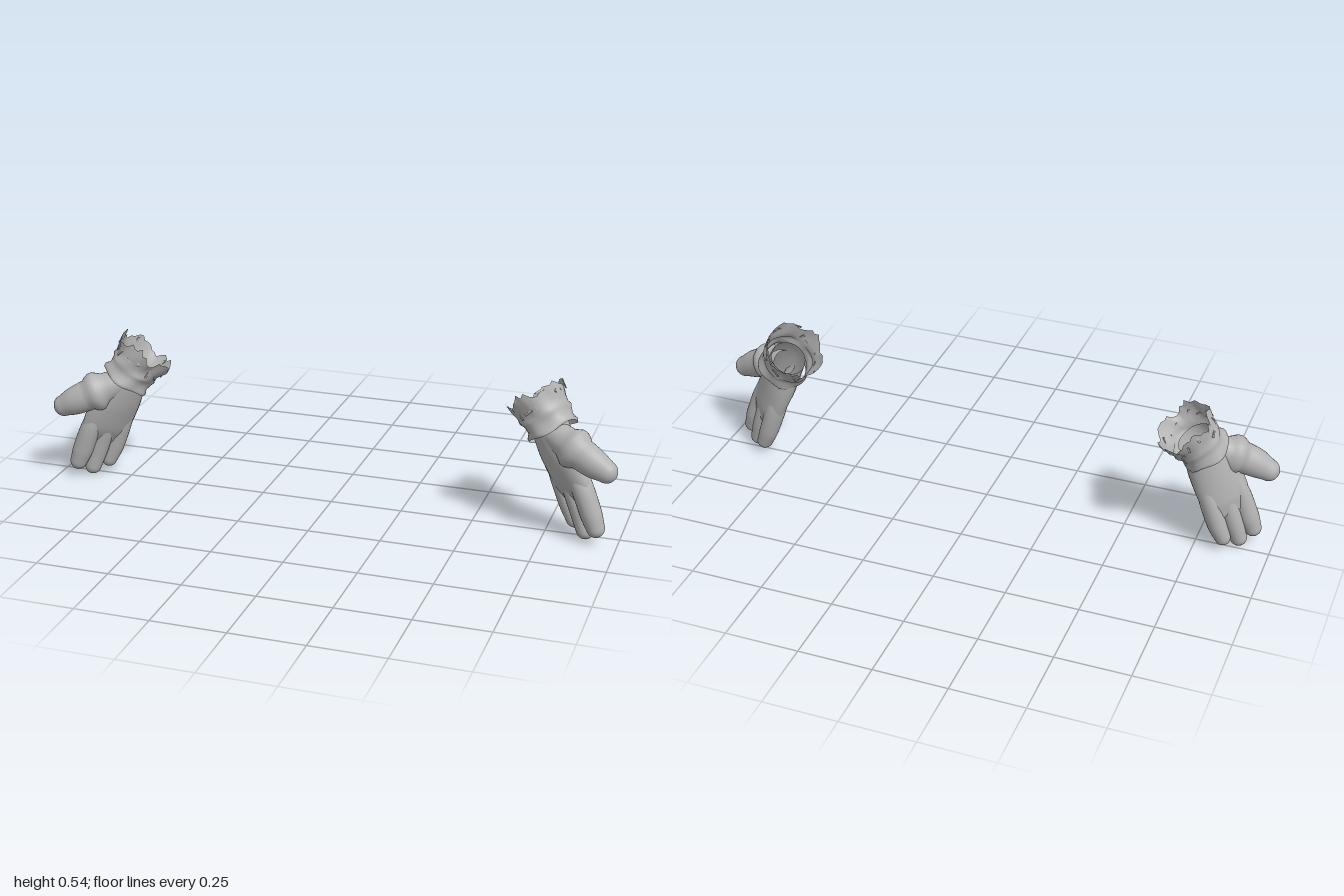
import * as THREE from 'three';

const V = (x, y, z) => new THREE.Vector3(x, y, z);
const WIDE = V(0.76, 0, 0.65); // direction across the palm, index finger outward
const AXIS = V(-0.55, 0.78, -0.3).normalize(); // cuff axis, hem to rim
const HEM = V(0.765, 0.36, 0.0);

function seeded(seed) {
  let s = seed;
  return () => (s = (s * 16807) % 2147483647) / 2147483647;
}

// Closed rings joined into a smooth skin; side = -1 mirrors it
function skin(rings, side) {
  const n = rings[0].length, pos = [], idx = [];
  rings.forEach(r => r.forEach(p => pos.push(p.x * side, p.y, p.z)));
  for (let i = 0; i < rings.length - 1; i++) {
    for (let j = 0; j < n; j++) {
      const a = i * n + j, b = i * n + (j + 1) % n, c = a + n, d = b + n;
      if (side > 0) idx.push(a, b, c, b, d, c);
      else idx.push(a, c, b, b, c, d);
    }
  }
  const g = new THREE.BufferGeometry();
  g.setAttribute('position', new THREE.Float32BufferAttribute(pos, 3));
  g.setIndex(idx);
  g.computeVertexNormals();
  return g;
}

// Sweep of elliptical sections [x, y, z, halfWidth, halfDepth] with a rounded end
function limb(sections, side, wide = WIDE, capLength = 1) {
  const path = new THREE.CatmullRomCurve3(sections.map(s => V(s[0], s[1], s[2])));
  const size = new THREE.CatmullRomCurve3(sections.map(s => V(s[3], s[4], 0)));
  const rings = [], rows = 18, cap = 6, cols = 24;
  const ring = (c, t, a, b) => {
    const u = wide.clone().addScaledVector(t, -wide.dot(t)).normalize();
    const v = t.clone().cross(u);
    rings.push(Array.from({ length: cols }, (_, j) => {
      const q = j / cols * Math.PI * 2;
      return c.clone().addScaledVector(u, a * Math.cos(q)).addScaledVector(v, b * Math.sin(q));
    }));
  };
  for (let i = 0; i <= rows; i++) {
    const k = i / rows, s = size.getPoint(k);
    ring(path.getPoint(k), path.getTangent(k), s.x, s.y);
  }
  const end = path.getPoint(1), t = path.getTangent(1), e = size.getPoint(1);
  for (let i = 1; i <= cap; i++) {
    const q = i / cap * Math.PI / 2, f = Math.max(Math.cos(q), 0.001);
    ring(end.clone().addScaledVector(t, Math.sin(q) * e.y * capLength), t, e.x * f, e.y * f);
  }
  return skin(rings, side);
}

// Point on the cuff at height h, angle q, radius r
const CU = WIDE.clone().addScaledVector(AXIS, -WIDE.dot(AXIS)).normalize();
const CV = AXIS.clone().cross(CU);
const cuffPoint = (h, q, r) => HEM.clone().addScaledVector(AXIS, h)
  .addScaledVector(CU, r * Math.cos(q)).addScaledVector(CV, r * Math.sin(q));

// Folded sleeve with a torn rim and an uneven hem
function cuff(side, rand) {
  const profile = [[0, 0.085], [0.012, 0.088], [0.028, 0.079], [0.05, 0.083], [0.062, 0.089],
    [0.072, 0.084], [0.095, 0.09], [0.115, 0.096], [0.138, 0.102]];
  const cols = 48;
  const tear = Array.from({ length: cols }, (_, j) =>
    0.012 * Math.sin(j * 0.65 + side) + 0.022 * (rand() - 0.6));
  const rings = profile.map(([h, r], i) => Array.from({ length: cols }, (_, j) => {
    const q = j / cols * Math.PI * 2, k = h / 0.138;
    const sag = (1 - k) * 0.006 * Math.sin(3 * q + 1);
    const crease = 0.0025 * Math.sin(5 * q + i * 0.9);
    return cuffPoint(h + sag + tear[j] * k ** 3, q, r + crease);
  }));
  return skin(rings, side);
}

export function createModel() {
  const cloth = new THREE.MeshStandardMaterial({ color: 0xb2b2b2, side: THREE.DoubleSide });
  cloth.name = 'grey cloth';
  const model = new THREE.Group();
  model.name = 'pairOfGloves';

  const palm = [
    [0.728, 0.415, -0.02, 0.064, 0.06], [0.752, 0.37, -0.004, 0.07, 0.06],
    [0.783, 0.30, 0.005, 0.083, 0.056], [0.808, 0.25, 0.01, 0.089, 0.05],
    [0.835, 0.19, 0.012, 0.088, 0.042], [0.85, 0.155, 0.013, 0.078, 0.03]];
  const thumb = [
    [0.765, 0.365, 0.02, 0.045, 0.045], [0.82, 0.342, 0.046, 0.054, 0.05],
    [0.87, 0.32, 0.068, 0.054, 0.05], [0.915, 0.298, 0.081, 0.05, 0.046],
    [0.957, 0.277, 0.087, 0.038, 0.036]];
  const fingers = {
    indexFinger: [[0.845, 0.26, 0.035, 0.03, 0.034], [0.877, 0.19, 0.048, 0.035, 0.038],
      [0.908, 0.11, 0.052, 0.036, 0.037], [0.927, 0.06, 0.056, 0.03, 0.031]],
    middleFinger: [[0.805, 0.26, 0.01, 0.03, 0.036], [0.834, 0.19, 0.012, 0.033, 0.039],
      [0.866, 0.10, 0.015, 0.033, 0.036], [0.888, 0.034, 0.022, 0.029, 0.031]],
    littleFinger: [[0.767, 0.26, -0.022, 0.03, 0.034], [0.79, 0.19, -0.027, 0.033, 0.037],
      [0.822, 0.10, -0.025, 0.032, 0.034], [0.843, 0.05, -0.02, 0.027, 0.029]],
  };

  for (const side of [1, -1]) {
    const rand = seeded(side > 0 ? 421 : 977);
    const glove = new THREE.Group();
    glove.name = side > 0 ? 'leftGlove' : 'rightGlove';
    const add = (name, geometry) => {
      const mesh = new THREE.Mesh(geometry, cloth);
      mesh.name = name;
      glove.add(mesh);
      return mesh;
    };
    add('palm', limb(palm, side));
    add('thumb', limb(thumb, side, V(0.4, 0.9, 0)));
    for (const [name, sections] of Object.entries(fingers)) add(name, limb(sections, side));
    add('cuff', cuff(side, rand));

    // Loose frayed scraps around the rim
    for (let i = 0; i < 14; i++) {
      const q = i / 14 * Math.PI * 2 + rand() * 0.3, h = 0.08 + rand() * 0.05;
      const p = cuffPoint(h, q, 0.088 + (h - 0.08) * 0.25);
      const out = p.clone().sub(cuffPoint(h, 0, 0));
      const scrap = add('frayedScrap', new THREE.BoxGeometry(0.007, 0.02 + rand() * 0.014, 0.003));
      scrap.position.set(p.x * side, p.y, p.z);
      scrap.lookAt(scrap.position.clone().add(V(out.x * side, out.y, out.z)));
      scrap.rotateZ(rand() * 2.4 - 1.2);
    }
    model.add(glove);
  }
  return model;
}
